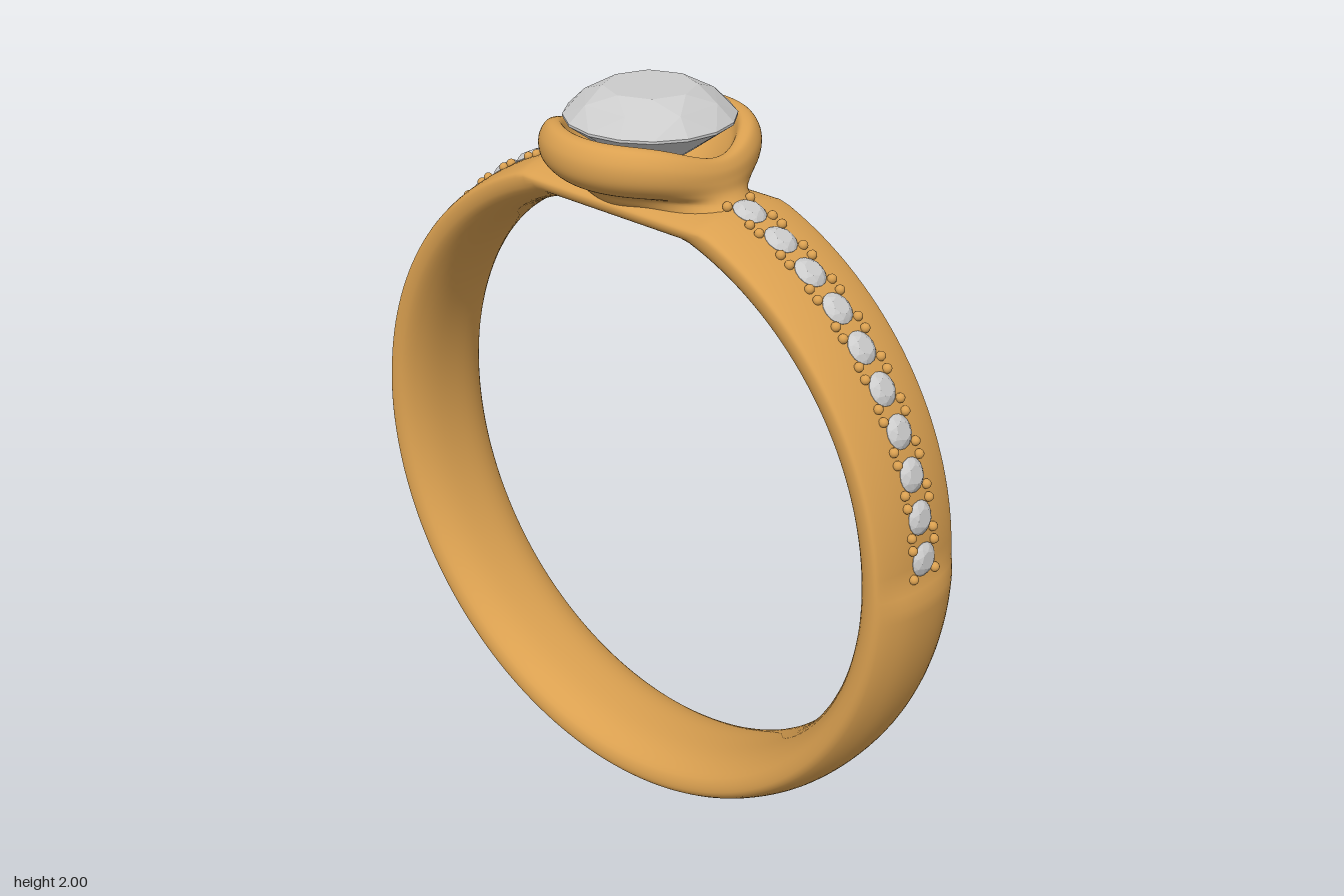
import * as THREE from 'three';
import { ConvexGeometry } from 'three/addons/geometries/ConvexGeometry.js';

const CENTRE_Y = 0.92;
const gold = new THREE.MeshStandardMaterial({ color: 0xdaa050 });
const stone = new THREE.MeshStandardMaterial({ color: 0xcccccc, flatShading: true });

function mesh(name, geometry, material) {
  const m = new THREE.Mesh(geometry, material);
  m.name = name;
  return m;
}

// Smooth skin over a rows x cols grid; columns always wrap, rows wrap if asked
function loft(rows, cols, wrapRows, pointAt) {
  const pos = [], index = [];
  for (let i = 0; i < rows; i++)
    for (let j = 0; j < cols; j++) pos.push(...pointAt(i, j));
  const last = wrapRows ? rows : rows - 1;
  for (let i = 0; i < last; i++) {
    for (let j = 0; j < cols; j++) {
      const i2 = (i + 1) % rows, j2 = (j + 1) % cols;
      const a = i * cols + j, b = i * cols + j2, c = i2 * cols + j, d = i2 * cols + j2;
      index.push(a, b, c, b, d, c);
    }
  }
  const g = new THREE.BufferGeometry();
  g.setAttribute('position', new THREE.Float32BufferAttribute(pos, 3));
  g.setIndex(index);
  g.computeVertexNormals();
  return g;
}

const curve = (pts, closed) =>
  new THREE.CatmullRomCurve3(pts.map(([x, y]) => new THREE.Vector3(x, y, 0)), closed);

// Domed outside, rounded sides and comfort-fit inside; [x, radius]
function bandGeometry() {
  const half = [[0.08, 0.911], [0.143, 0.882], [0.155, 0.862], [0.145, 0.825], [0.09, 0.793]];
  const mirrored = half.map(([x, r]) => [-x, r]).reverse();
  const section = curve([[0, 0.92], ...half, [0, 0.783], ...mirrored], true);
  const cols = 48, rows = 180;
  const pts = section.getPoints(cols).slice(0, cols);
  return loft(rows, cols, true, (i, j) => {
    const a = (i / rows) * Math.PI * 2;
    const p = pts[j];
    let r = p.y;
    // the shoulders carrying the stones are a little flatter
    const t = THREE.MathUtils.smoothstep(Math.sin(a), 0, 0.07);
    if (r > 0.87) r = 0.87 + (r - 0.87) * (1 - 0.45 * t);
    // level off under the setting
    const cap = THREE.MathUtils.mapLinear(p.y, 0.783, 0.92, 1.68, 1.765);
    const y = Math.min(CENTRE_Y + r * Math.sin(a), cap);
    return [p.x, y, r * Math.cos(a)];
  });
}

// Cup whose rim is high at the sides and dips at front and back; [radius, y]
function bezelGeometry() {
  const side = curve([[0.12, 1.715], [0.155, 1.74], [0.185, 1.775], [0.24, 1.798], [0.272, 1.835],
    [0.275, 1.882], [0.252, 1.917], [0.222, 1.918], [0.2, 1.87], [0.11, 1.785], [0, 1.77]]);
  const front = curve([[0.36, 1.715], [0.325, 1.75], [0.29, 1.775], [0.274, 1.795], [0.268, 1.822],
    [0.262, 1.85], [0.246, 1.872], [0.222, 1.87], [0.195, 1.835], [0.11, 1.785], [0, 1.77]]);
  const rows = 61, cols = 96;
  const sidePts = side.getPoints(rows - 1), frontPts = front.getPoints(rows - 1);
  return loft(rows, cols, false, (i, j) => {
    const a = (j / cols) * Math.PI * 2;
    const p = sidePts[i].clone().lerp(frontPts[i], Math.sin(a) ** 6);
    const r = Math.max(p.x, 0.0005);
    return [r * Math.cos(a), p.y, -r * Math.sin(a)];
  });
}

// Round brilliant with its girdle at y = 0
function brilliantGeometry(radius) {
  const pts = [];
  const ring = (n, r, y, turn) => {
    for (let k = 0; k < n; k++) {
      const a = ((k + turn) / n) * Math.PI * 2;
      pts.push(new THREE.Vector3(r * radius * Math.cos(a), y * radius, r * radius * Math.sin(a)));
    }
  };
  ring(8, 0.54, 0.345, 0);     // table
  ring(8, 0.8, 0.21, 0.5);     // crown
  ring(16, 1, 0.015, 0);       // girdle
  ring(16, 1, -0.015, 0);
  ring(8, 0.5, -0.38, 0.5);    // pavilion
  pts.push(new THREE.Vector3(0, -0.72 * radius, 0));
  return new ConvexGeometry(pts);
}

export function createModel() {
  const model = new THREE.Group();
  model.name = 'ring';
  model.add(mesh('band', bandGeometry(), gold), mesh('bezel', bezelGeometry(), gold));

  const centreStone = mesh('centreStone', brilliantGeometry(0.216), stone);
  centreStone.position.y = 1.926;
  model.add(centreStone);

  // Ten small stones on each shoulder, four beads holding each
  const smallStone = brilliantGeometry(0.043);
  const bead = new THREE.SphereGeometry(0.0125, 12, 8);
  for (const end of [1, -1]) {
    const row = new THREE.Group();
    row.name = end > 0 ? 'frontStoneRow' : 'backStoneRow';
    for (let k = 0; k < 10; k++) {
      const a = THREE.MathUtils.degToRad(6.4 + k * 6.93);
      const setting = new THREE.Group();
      setting.name = 'stoneSetting';
      setting.position.set(0, CENTRE_Y + 0.898 * Math.sin(a), end * 0.898 * Math.cos(a));
      setting.rotation.x = end * (Math.PI / 2 - a);
      setting.add(mesh('smallStone', smallStone, stone));
      for (const sx of [1, -1]) {
        for (const sz of [1, -1]) {
          const b = mesh('bead', bead, gold);
          b.position.set(sx * 0.042, 0.001, sz * 0.038);
          setting.add(b);
        }
      }
      row.add(setting);
    }
    model.add(row);
  }
  return model;
}
